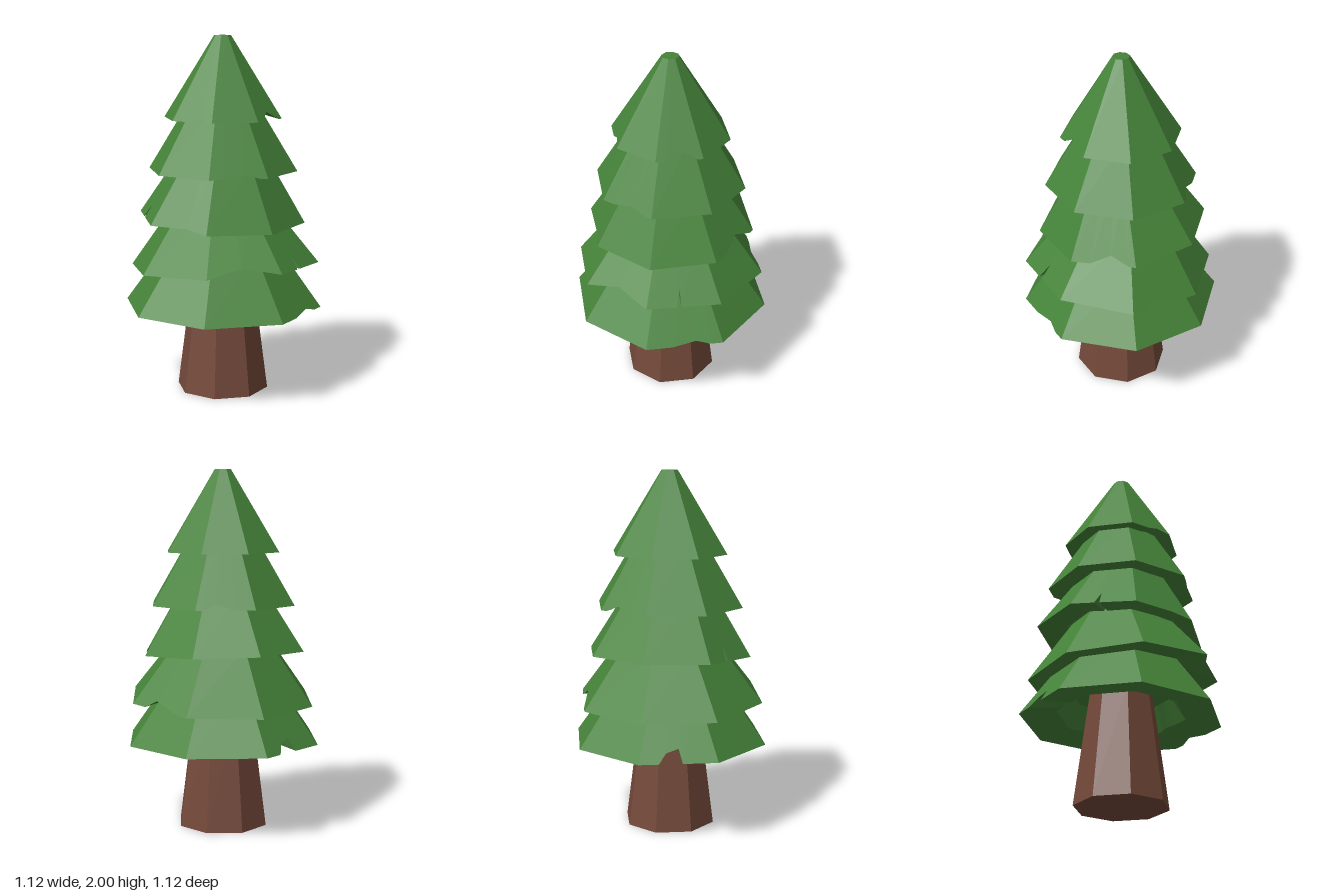
import * as THREE from 'three';

const SIDES = 8;
const STEP = 360 / SIDES;

// Distance factor from centre to the edge of a unit octagon at an angle in degrees
function octagon(deg) {
  const off = (((deg % STEP) + STEP) % STEP) - STEP / 2;
  return Math.cos(Math.PI / SIDES) / Math.cos(THREE.MathUtils.degToRad(off));
}

// Hollow branch tier: outer slope, ragged rim, underside and inner recess.
// notches are [angle, lift] rim points; angle 0 is front, 90 is +x.
function tierGeometry({ r, height, topR, notches }) {
  const rim = [...notches];
  for (let i = 0; i < SIDES; i++) {
    if (!notches.some((n) => n[0] === i * STEP)) rim.push([i * STEP, 0]);
  }
  rim.sort((a, b) => a[0] - b[0]);

  const at = (deg, radius, y) => {
    const a = THREE.MathUtils.degToRad(deg);
    const d = radius * octagon(deg);
    return [Math.sin(a) * d, y, Math.cos(a) * d];
  };
  const slope = (r - topR) / height;
  const rows = [
    rim.map(() => [0, height, 0]),
    rim.map(([a]) => at(a, topR, height)),
    rim.map(([a, lift]) => at(a, r - slope * lift, lift)),
    rim.map(([a, lift]) => at(a, r * 0.64, 0.03 + lift * 0.5)),
    rim.map(([a]) => at(a, r * 0.5, height * 0.45)),
    rim.map(() => [0, height * 0.45, 0]),
  ];

  const pos = [];
  for (let k = 0; k < rows.length - 1; k++) {
    for (let i = 0; i < rim.length; i++) {
      const j = (i + 1) % rim.length;
      const [a, b, c, d] = [rows[k + 1][i], rows[k + 1][j], rows[k][j], rows[k][i]];
      if (k < rows.length - 2) pos.push(...a, ...b, ...c);
      if (k > 0) pos.push(...a, ...c, ...d);
    }
  }
  const geo = new THREE.BufferGeometry();
  geo.setAttribute('position', new THREE.Float32BufferAttribute(pos, 3));
  geo.computeVertexNormals();
  return geo;
}

export function createModel() {
  const tree = new THREE.Group();
  tree.name = 'pineTree';

  const bark = new THREE.MeshStandardMaterial({ color: 0x74493a, flatShading: true });
  bark.name = 'barkBrown';
  const needles = new THREE.MeshStandardMaterial({ color: 0x458339, flatShading: true });
  needles.name = 'needleGreen';

  // Tapered trunk
  const trunk = new THREE.Mesh(new THREE.CylinderGeometry(0.177, 0.26, 0.63, SIDES), bark);
  trunk.name = 'trunk';
  trunk.position.y = 0.315;
  tree.add(trunk);

  // Branch tiers from bottom to top, some leaning slightly
  const tiers = [
    { name: 'bottomTier', y: 0.49, r: 0.56, height: 0.34, topR: 0.315, tilt: 0, z: 0,
      notches: [[15, 0], [30, 0.02], [38, 0], [191, 0], [195, 0.05], [203, 0.07], [205, 0]] },
    { name: 'lowerTier', y: 0.725, r: 0.535, height: 0.34, topR: 0.275, tilt: -0.066, z: 0.015,
      notches: [[18, 0], [20.5, 0.075], [20.9, 0], [100, 0], [107, 0.04], [128, 0], [337, 0.045]] },
    { name: 'middleTier', y: 0.988, r: 0.47, height: 0.34, topR: 0.255, tilt: 0.058, z: -0.008,
      notches: [[58, 0], [73, 0.045], [86, 0], [241, 0], [244, 0.08], [244.8, 0], [300, 0.015]] },
    { name: 'upperTier', y: 1.258, r: 0.42, height: 0.36, topR: 0.2, tilt: 0, z: 0,
      notches: [[140, 0], [150, 0.03], [165, 0], [325, 0], [342, 0.022], [355, 0]] },
    { name: 'topTier', y: 1.548, r: 0.33, height: 0.452, topR: 0.047, tilt: 0, z: 0,
      notches: [[8, 0], [23, 0.045], [40, 0], [290, 0], [302, 0.02], [312, 0]] },
  ];
  for (const t of tiers) {
    const mesh = new THREE.Mesh(tierGeometry(t), needles);
    mesh.name = t.name;
    mesh.position.set(0, t.y, t.z);
    mesh.rotation.x = t.tilt;
    tree.add(mesh);
  }
  return tree;
}
